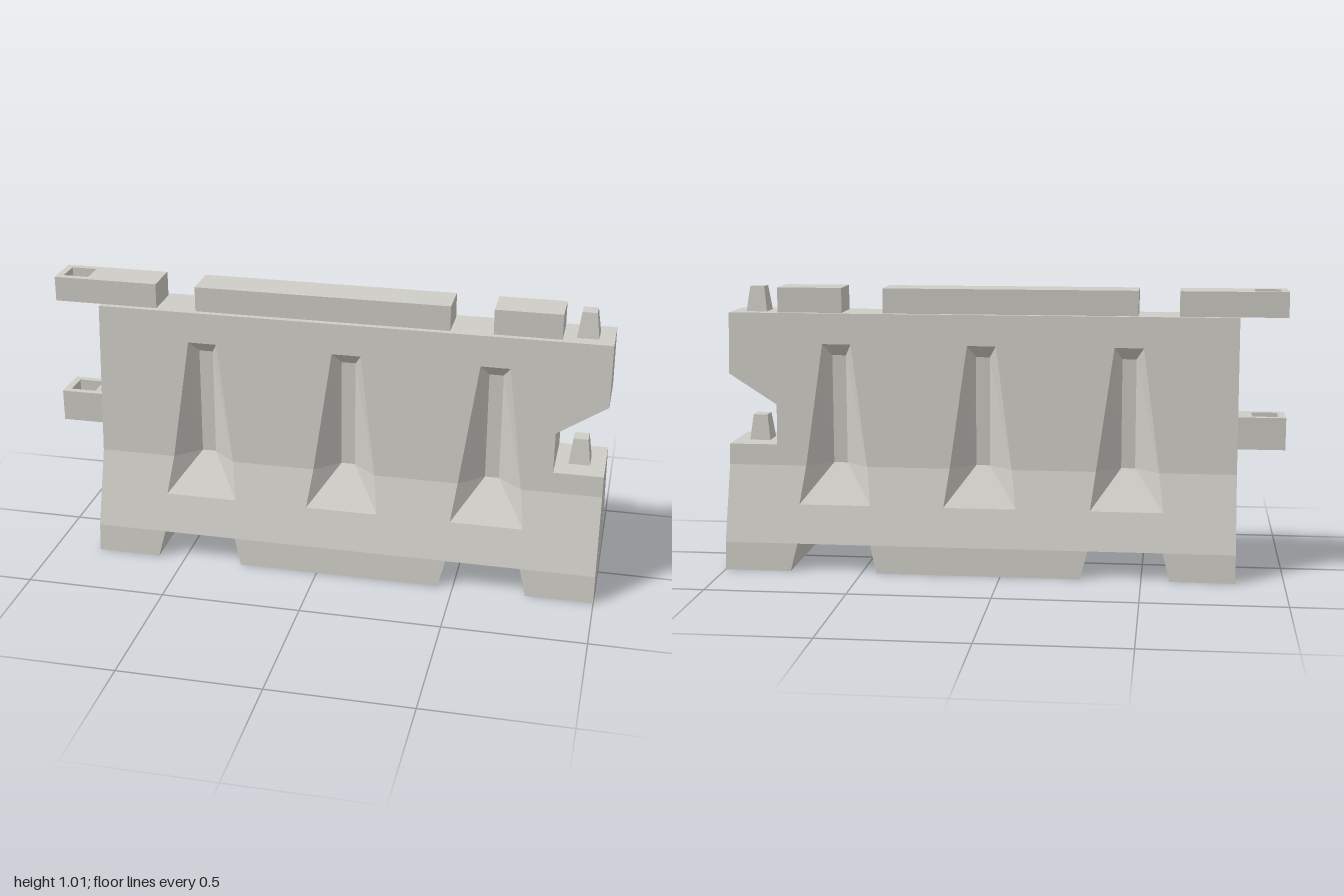
import * as THREE from 'three';

const RECESS_X = [-0.445, 0.08, 0.605];
const FLOOR_Z = 0.055;
const PROFILE = [[0, 0.228], [0.1, 0.218], [0.37, 0.132], [0.92, 0.092]];

// Half thickness of the barrier at a given height
function halfDepth(y) {
  for (let i = 1; i < PROFILE.length; i++) {
    const [y0, z0] = PROFILE[i - 1], [y1, z1] = PROFILE[i];
    if (y <= y1) return z0 + (z1 - z0) * (y - y0) / (y1 - y0);
  }
  return PROFILE[PROFILE.length - 1][1];
}
const onSkin = ([x, y]) => [x, y, halfDepth(y)];

function bodyGeometry() {
  const pos = [];
  const face = (...p) => {
    for (let i = 1; i < p.length - 1; i++) pos.push(...p[0], ...p[i], ...p[i + 1]);
  };
  const flipZ = ([x, y, z]) => [x, y, -z];
  // Adds a face to the front and its mirror to the back
  const both = (...p) => {
    face(...p);
    face(...p.map(flipZ).reverse());
  };
  // Flat panel with a concave outline, laid on the sloping skin
  const panel = (outline) => {
    const pts = outline.map(([x, y]) => new THREE.Vector2(x, y));
    for (const t of THREE.ShapeUtils.triangulateShape(pts, [])) both(...t.map((i) => onSkin(outline[i])));
  };

  // Foot, skirt and wall panels
  panel([[-0.83, 0], [-0.6, 0], [-0.575, 0.1], [-0.83, 0.1]]);
  panel([[-0.285, 0], [0.445, 0], [0.47, 0.1], [-0.31, 0.1]]);
  panel([[0.76, 0], [1, 0], [1, 0.1], [0.735, 0.1]]);
  const skirt = [[-0.83, 0.1], [1, 0.1], [1, 0.37]];
  for (const c of [...RECESS_X].reverse()) {
    skirt.push([c + 0.112, 0.37], [c + 0.13, 0.235], [c - 0.13, 0.235], [c - 0.112, 0.37]);
  }
  skirt.push([-0.83, 0.37]);
  panel(skirt);
  const wall = [[-0.83, 0.37]];
  for (const c of RECESS_X) {
    wall.push([c - 0.112, 0.37], [c - 0.052, 0.81], [c + 0.052, 0.81], [c + 0.112, 0.37]);
  }
  wall.push([1, 0.37], [1, 0.445], [0.825, 0.445], [0.825, 0.59], [1, 0.7], [1, 0.92], [-0.83, 0.92]);
  panel(wall);

  // Tapered recesses
  for (const c of RECESS_X) {
    const corners = (s) => ({
      B: onSkin([c + s * 0.13, 0.235]),
      K: onSkin([c + s * 0.112, 0.37]),
      T: onSkin([c + s * 0.052, 0.81]),
      b: [c + s * 0.025, 0.37, FLOOR_Z],
      t: [c + s * 0.025, 0.765, FLOOR_Z],
    });
    const l = corners(-1), r = corners(1);
    both(l.B, r.B, r.b, l.b);
    both(r.T, l.T, l.t, r.t);
    both(l.b, r.b, r.t, l.t);
    both(r.B, r.K, r.b);
    both(r.K, r.T, r.t, r.b);
    both(l.b, l.K, l.B);
    both(l.b, l.t, l.T, l.K);
  }

  // Ends, top, underside and cut-outs: the outline joined front to back
  const outline = [
    [-0.83, 0], [-0.6, 0], [-0.575, 0.1], [-0.31, 0.1], [-0.285, 0], [0.445, 0], [0.47, 0.1],
    [0.735, 0.1], [0.76, 0], [1, 0], [1, 0.1], [1, 0.37], [1, 0.445], [0.825, 0.445],
    [0.825, 0.59], [1, 0.7], [1, 0.92], [-0.83, 0.92], [-0.83, 0.37], [-0.83, 0.1],
  ];
  outline.forEach((p, i) => {
    const a = onSkin(p), b = onSkin(outline[(i + 1) % outline.length]);
    face(a, flipZ(a), flipZ(b), b);
  });

  const g = new THREE.BufferGeometry();
  g.setAttribute('position', new THREE.Float32BufferAttribute(pos, 3));
  g.computeVertexNormals();
  return g;
}

// Rectangle path in x and z
function rect(path, x0, x1, h) {
  path.moveTo(x0, -h).lineTo(x1, -h).lineTo(x1, h).lineTo(x0, h).closePath();
  return path;
}

export function createModel() {
  const group = new THREE.Group();
  const plastic = new THREE.MeshStandardMaterial({ color: 0xcfcdc6 });
  plastic.name = 'pale grey plastic';
  const add = (name, geometry) => {
    const mesh = new THREE.Mesh(geometry, plastic);
    mesh.name = name;
    group.add(mesh);
    return mesh;
  };

  add('barrierBody', bodyGeometry());

  // Ridge blocks along the top
  const ridge = (name, x0, x1) => {
    add(name, new THREE.BoxGeometry(x1 - x0, 0.09, 0.14)).position.set((x0 + x1) / 2, 0.965, 0);
  };
  ridge('middleRidge', -0.475, 0.44);
  ridge('endRidge', 0.59, 0.825);

  // Connector lugs with square sockets
  const lug = (name, x1, y0, y1) => {
    const shape = rect(new THREE.Shape(), -1, x1, 0.07);
    shape.holes.push(rect(new THREE.Path(), -0.975, -0.882, 0.045));
    const g = new THREE.ExtrudeGeometry(shape, { depth: y1 - y0, bevelEnabled: false });
    g.rotateX(-Math.PI / 2);
    add(name, g).position.y = y0;
  };
  lug('upperLug', -0.62, 0.92, 1.01);
  lug('lowerLug', -0.825, 0.45, 0.565);

  // Tapered connector pegs
  const peg = (name, y0, height) => {
    const g = new THREE.BoxGeometry(0.076, height, 0.084);
    const p = g.attributes.position;
    for (let i = 0; i < p.count; i++) {
      if (p.getY(i) > 0) p.setXYZ(i, p.getX(i) * 0.68, p.getY(i), p.getZ(i) * 0.68);
    }
    g.computeVertexNormals();
    add(name, g).position.set(0.909, y0 + height / 2, 0);
  };
  peg('upperPeg', 0.92, 0.09);
  peg('lowerPeg', 0.445, 0.093);

  return group;
}
